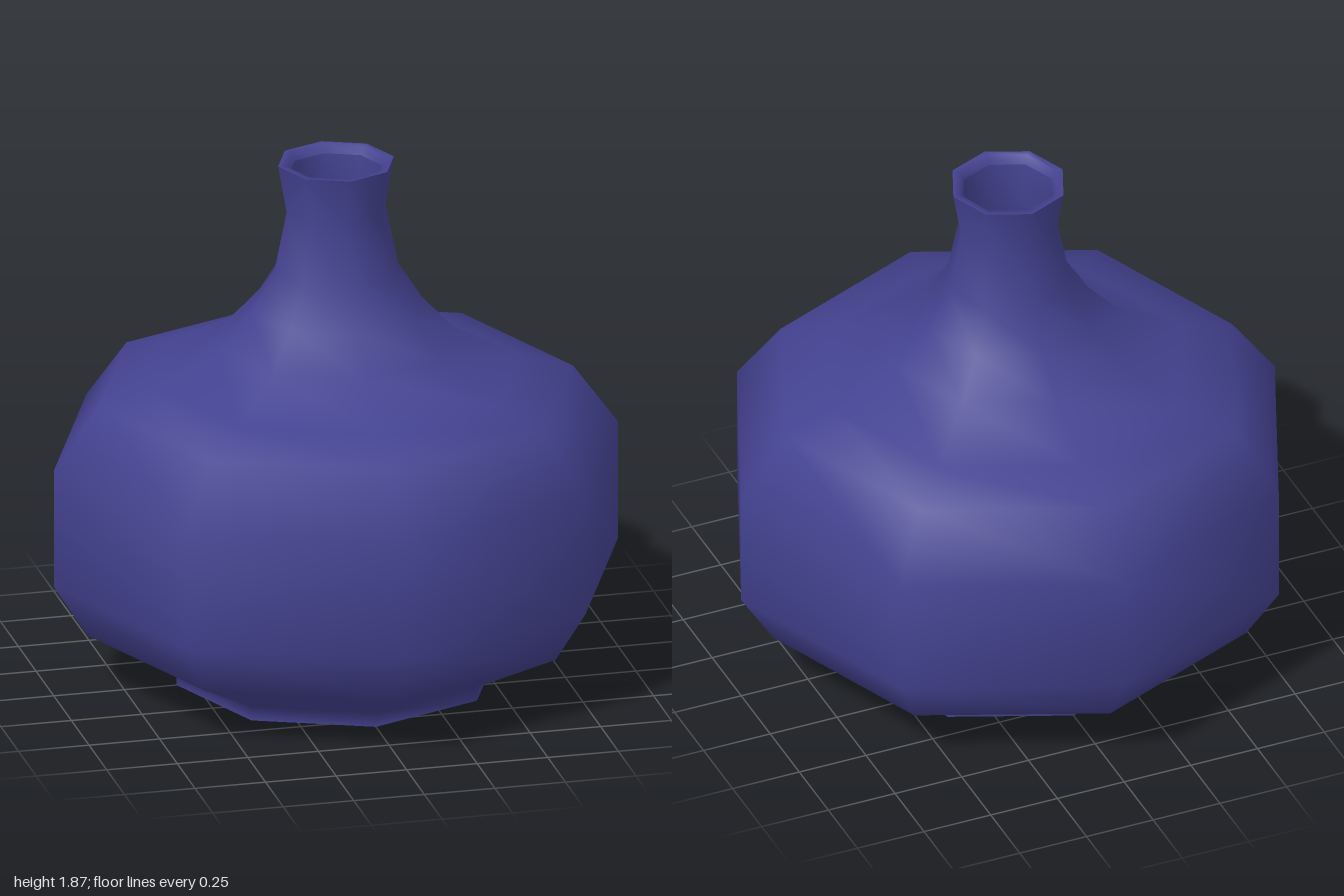
import * as THREE from 'three';

const SIDES = 8;

// Turns a [radius, height] profile into an eight-sided smooth shell
function turned(name, profile, material) {
  const points = profile.map(([r, y]) => new THREE.Vector2(r, y));
  const mesh = new THREE.Mesh(new THREE.LatheGeometry(points, SIDES), material);
  mesh.name = name;
  return mesh;
}

export function createModel() {
  const group = new THREE.Group();
  group.name = 'vase';
  const glaze = new THREE.MeshStandardMaterial({ color: 0x434290 });
  glaze.name = 'blue glaze';

  // Outer wall: foot, belly, shoulder, neck and flared mouth
  group.add(turned('outerWall', [
    [0.565, 0], [0.565, 0.05], [0.88, 0.21], [1, 0.4], [1, 0.825],
    [0.84, 1.045], [0.65, 1.1], [0.42, 1.22], [0.305, 1.345],
    [0.22, 1.48], [0.175, 1.7], [0.205, 1.87],
  ], glaze));

  // Rim of the mouth
  group.add(turned('rim', [[0.205, 1.87], [0.18, 1.87], [0.165, 1.84]], glaze));

  // Hollow inside, from the mouth down to the floor
  group.add(turned('innerWall', [
    [0.165, 1.84], [0.15, 1.7], [0.19, 1.47], [0.28, 1.32], [0.4, 1.18],
    [0.64, 1.06], [0.82, 1.01], [0.96, 0.81], [0.96, 0.42], [0.85, 0.25],
    [0.55, 0.15], [0, 0.15],
  ], glaze));

  // Recessed underside inside the foot ring
  group.add(turned('footUnderside', [[0, 0.08], [0.51, 0.08]], glaze));
  group.add(turned('footInnerWall', [[0.51, 0.08], [0.53, 0]], glaze));
  group.add(turned('footRing', [[0.53, 0], [0.565, 0]], glaze));

  return group;
}
